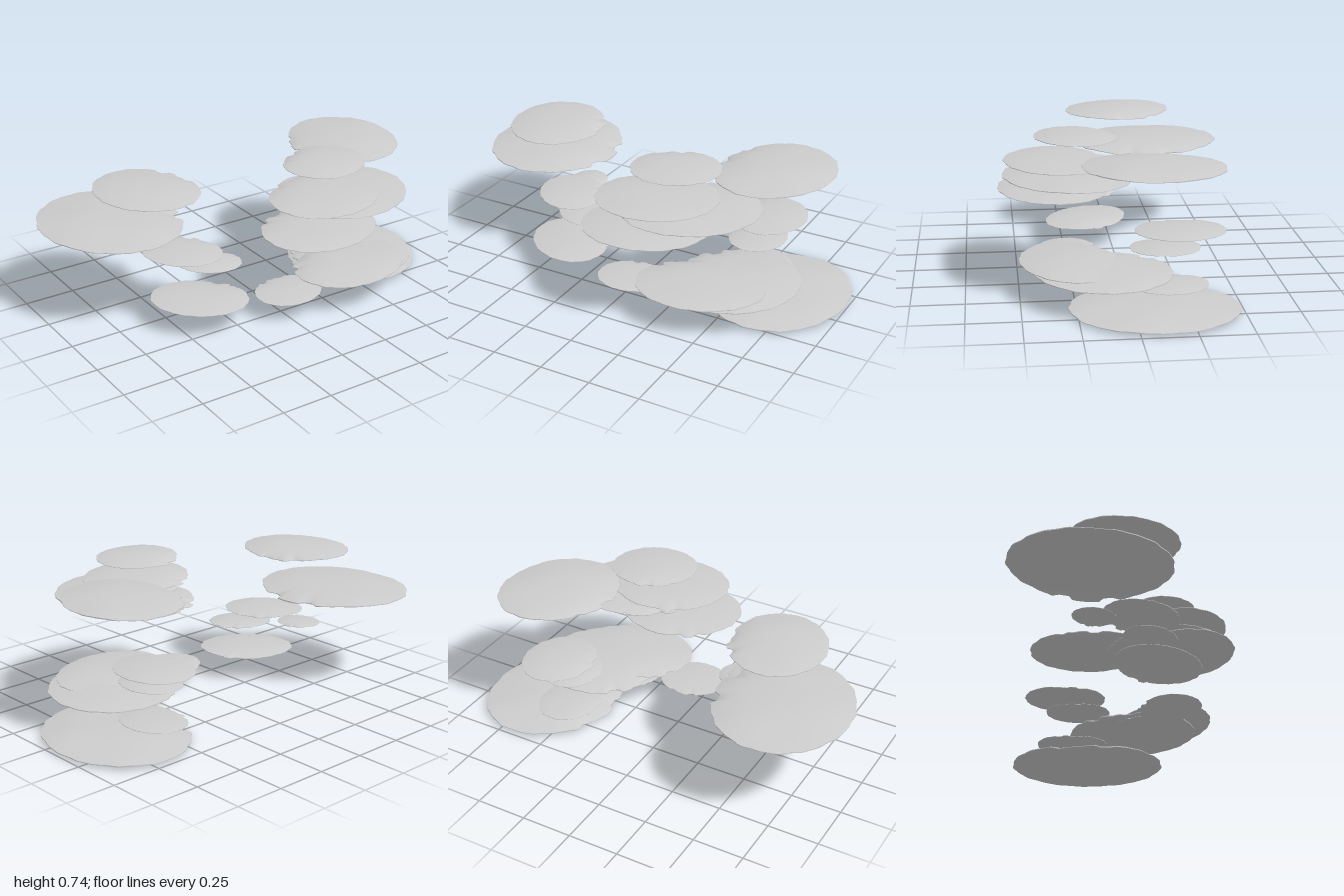
import * as THREE from 'three';

// One shelf per row: x min, x max, z min, z max, rim height, thickness, slant of the outline
const SHELVES = [
  // left column
  [-0.79, -0.32, -0.32, 0.22, 0.668, 0.026, 0.08],
  [-1.0, -0.34, -0.595, 0.17, 0.475, 0.032, 0.05],
  [-0.6, -0.25, -0.14, 0.23, 0.354, 0.016, 0.2],
  [-0.55, -0.36, -0.28, -0.07, 0.326, 0.012, 0.1],
  [-0.46, -0.17, -0.03, 0.24, 0.295, 0.014, 0.25],
  [-0.6, -0.17, -0.08, 0.34, 0.132, 0.018, 0.25],
  // right column, upper group
  [0.05, 0.47, 0.03, 0.42, 0.717, 0.02, -0.08],
  [0.34, 0.89, -0.42, 0.22, 0.652, 0.03, -0.08],
  [-0.08, 0.49, 0.05, 0.56, 0.59, 0.022, -0.1],
  [0.04, 0.68, -0.03, 0.57, 0.557, 0.026, -0.13],
  [-0.14, 0.46, 0.07, 0.59, 0.446, 0.024, -0.1],
  // right column, lower group
  [0.37, 0.72, -0.44, -0.02, 0.337, 0.018, 0],
  [0.37, 0.65, -0.33, 0, 0.246, 0.014, 0],
  [0.1, 0.72, 0, 0.5, 0.157, 0.026, -0.13],
  [0.2, 0.83, -0.2, 0.44, 0.142, 0.03, -0.08],
  [-0.13, 0.22, 0.1, 0.4, 0.102, 0.012, -0.06],
  [0.2, 0.4, 0.02, 0.25, 0.118, 0.012, -0.1],
  [0.37, 0.67, -0.37, -0.01, 0.07, 0.014, 0],
  [0.34, 1.0, -0.49, 0.29, 0.015, 0.032, -0.04],
];

const TRUNK = { x: 0, z: -0.25 }; // point the broken inner edges face
const SEGMENTS = 96;
const RINGS = 14;

function shelfGeometry([x0, x1, z0, z1, y, h, slant], seed) {
  const cx = (x0 + x1) / 2, cz = (z0 + z1) / 2;
  const hx = (x1 - x0) / 2, hz = (z1 - z0) / 2;
  const inward = Math.atan2(TRUNK.z - cz, TRUNK.x - cx);

  // rings run from the crown to the rim, then under the rim to the middle
  const rings = [];
  for (let i = 0; i <= RINGS; i++) rings.push([i / RINGS, true]);
  for (let i = RINGS; i >= 0; i--) rings.push([i / RINGS, false]);

  const positions = [], index = [];
  for (const [r, top] of rings) {
    for (let j = 0; j < SEGMENTS; j++) {
      const t = (j / SEGMENTS) * Math.PI * 2;
      const facing = Math.cos(t - inward);
      // gently scalloped rim, broken in steps where the shelf was attached
      let edge = 0.99 + 0.007 * Math.sin(13 * t + seed) + 0.006 * Math.sin(23 * t + seed * 2.3);
      if (facing > 0.9) edge += 0.05 * Math.sin(Math.floor(j / 3) * 2.4 + seed) - 0.02;
      const rr = r * (1 + (edge - 1) * r ** 4);
      const x = hx * rr * Math.cos(t), z = hz * rr * Math.sin(t + slant);
      // low dome with soft waves; the attached side sags slightly
      const wave = Math.sin(x * 13 + seed * 1.7) * Math.sin(z * 15 + seed) * 0.16 * r
        + Math.sin(5 * t + seed) * 0.06 * r * r;
      const dome = 0.85 * (1 - r ** 2.2) + wave * (1 - 0.6 * r);
      const sag = facing > 0 ? -0.42 * facing ** 6 * r ** 5 : 0;
      const height = top ? dome + 0.1 : dome * 0.35 - 0.02;
      positions.push(cx + x, y + h * (height + sag), cz + z);
    }
  }
  for (let i = 0; i < rings.length - 1; i++) {
    if (i === RINGS) continue; // rim wall is added separately to stay crisp
    for (let j = 0; j < SEGMENTS; j++) {
      const k = (j + 1) % SEGMENTS;
      const a = i * SEGMENTS + j, b = i * SEGMENTS + k;
      const c = a + SEGMENTS, d = b + SEGMENTS;
      if (i > 0) index.push(a, b, c);
      if (i < rings.length - 2) index.push(b, d, c);
      else index.push(a, b, c);
    }
  }
  // rim wall on its own copies of the two edge loops
  const start = positions.length / 3;
  const from = RINGS * SEGMENTS * 3;
  positions.push(...positions.slice(from, from + SEGMENTS * 6));
  for (let j = 0; j < SEGMENTS; j++) {
    const a = start + j, b = start + ((j + 1) % SEGMENTS);
    index.push(a, b, a + SEGMENTS, b, b + SEGMENTS, a + SEGMENTS);
  }

  const geometry = new THREE.BufferGeometry();
  geometry.setAttribute('position', new THREE.Float32BufferAttribute(positions, 3));
  geometry.setIndex(index);
  geometry.computeVertexNormals();
  // the first and last loops collapse to a point, so give them plain normals
  const normals = geometry.attributes.normal;
  const last = (rings.length - 1) * SEGMENTS;
  for (let j = 0; j < SEGMENTS; j++) {
    normals.setXYZ(j, 0, 1, 0);
    normals.setXYZ(last + j, 0, -1, 0);
  }
  return geometry;
}

export function createModel() {
  const group = new THREE.Group();
  group.name = 'bracketFungus';
  const material = new THREE.MeshStandardMaterial({ color: 0xcccccc, side: THREE.DoubleSide });
  SHELVES.forEach((shelf, i) => {
    const mesh = new THREE.Mesh(shelfGeometry(shelf, i * 1.37 + 0.5), material);
    mesh.name = `${shelf[0] + shelf[1] < 0 ? 'left' : 'right'}Shelf${i + 1}`;
    group.add(mesh);
  });
  return group;
}
